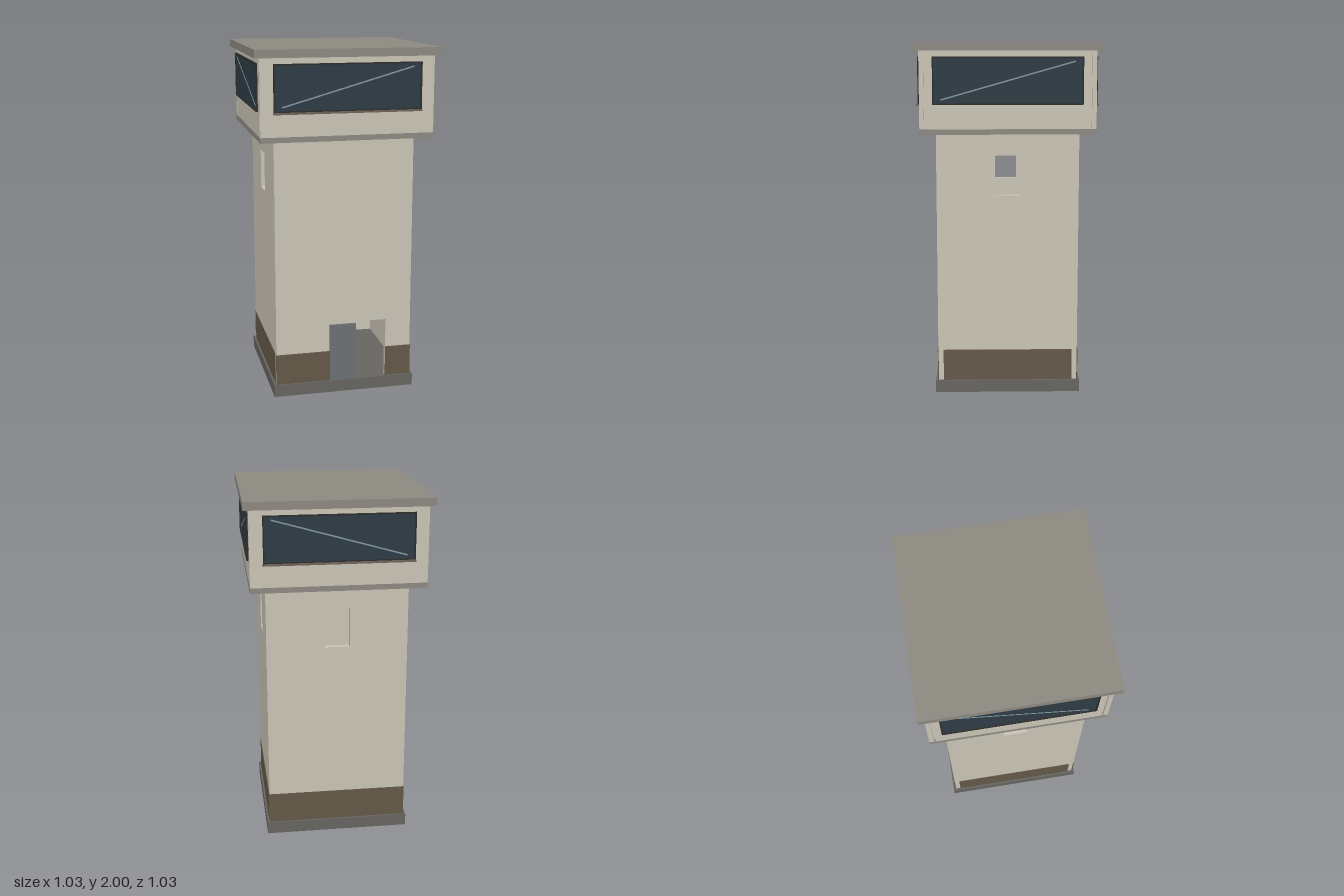
import * as THREE from 'three';

const mat = (color) => new THREE.MeshStandardMaterial({ color });
const M = {
  wall: mat(0xc8c3b5), plinth: mat(0x635848), base: mat(0x666460), roof: mat(0x8c8880),
  glass: mat(0x2f3b44), frame: mat(0x2c2c2a), door: mat(0x6b7073), streak: mat(0x7d95a0), sill: mat(0x6e6258),
};

// Box given by its min and max corners
function box(parent, name, material, x0, x1, y0, y1, z0, z1) {
  const mesh = new THREE.Mesh(new THREE.BoxGeometry(x1 - x0, y1 - y0, z1 - z0), material);
  mesh.position.set((x0 + x1) / 2, (y0 + y1) / 2, (z0 + z1) / 2);
  mesh.name = name;
  parent.add(mesh);
  return mesh;
}

function rect(Type, x0, x1, y0, y1) {
  const p = new Type();
  p.moveTo(x0, y0);
  p.lineTo(x1, y0);
  p.lineTo(x1, y1);
  p.lineTo(x0, y1);
  p.closePath();
  return p;
}

// Upright slab with an optional rectangular hole, from z to z + depth
function slab(parent, name, material, outer, hole, z, depth) {
  const shape = rect(THREE.Shape, ...outer);
  if (hole) shape.holes.push(rect(THREE.Path, ...hole));
  const mesh = new THREE.Mesh(new THREE.ExtrudeGeometry(shape, { depth, bevelEnabled: false }), material);
  mesh.position.z = z;
  mesh.name = name;
  parent.add(mesh);
}

export function createModel() {
  const model = new THREE.Group();
  model.name = 'watchtower';

  // Base slab and roof
  box(model, 'base', M.base, -0.415, 0.415, 0, 0.07, -0.415, 0.415);
  box(model, 'roof', M.roof, -0.515, 0.515, 1.955, 2, -0.515, 0.515);

  // Cabin core and its lower trim
  box(model, 'cabinCore', M.wall, -0.47, 0.47, 1.53, 1.955, -0.465, 0.465);
  box(model, 'cabinTrim', M.roof, -0.486, 0.486, 1.5, 1.53, -0.486, 0.486);

  // Four sides: front, right-hand, back, left-hand
  ['front', 'leftSide', 'back', 'rightSide'].forEach((name, i) => {
    const side = new THREE.Group();
    side.name = name;
    side.rotation.y = (i * Math.PI) / 2;
    model.add(side);
    const isFront = i === 0;
    const isFlank = i % 2 === 1;

    // Shaft wall with its doorway or small window
    const half = isFlank ? 0.37 : 0.4;
    if (isFront) {
      slab(side, 'shaftWall', M.wall, [-half, half, 0.42, 1.5], null, 0.37, 0.03);
      box(side, 'wallBesideDoor', M.wall, -half, 0.07, 0.07, 0.42, 0.37, 0.4);
      box(side, 'wallBesideDoor', M.wall, 0.25, half, 0.07, 0.42, 0.37, 0.4);
    } else {
      slab(side, 'shaftWall', M.wall, [-half, half, 0.07, 1.5], [-0.07, 0.07, 1.15, 1.375], 0.37, 0.03);
    }

    // Painted band at the foot of the wall
    const bands = isFront ? [[-0.402, 0.07], [0.25, 0.402]] : isFlank ? [[-0.37, 0.37]] : [[-0.402, 0.402]];
    for (const [a, b] of bands) box(side, 'footBand', M.plinth, a, b, 0.07, 0.25, 0.399, 0.404);

    // Cabin panel; flank panels stop short to leave a corner groove
    const panel = isFlank ? 0.45 : 0.485;
    box(side, 'cabinPanel', M.wall, -panel, panel, 1.53, 1.955, 0.46, 0.485);

    // Wide window with a thin frame and a diagonal glint
    slab(side, 'windowFrame', M.frame, [-0.412, 0.412, 1.663, 1.922], [-0.405, 0.405, 1.67, 1.915], 0.484, 0.013);
    box(side, 'windowGlass', M.glass, -0.406, 0.406, 1.669, 1.916, 0.484, 0.49);
    const glint = box(side, 'windowGlint', M.streak, -0.382, 0.382, 1.79, 1.798, 0.489, 0.492);
    glint.rotation.z = (i < 2 ? 1 : -1) * Math.atan2(0.21, 0.74);
    if (!isFlank) box(side, 'windowSill', M.sill, -0.415, 0.415, 1.653, 1.664, 0.484, 0.505);
  });

  // Door standing open against the front wall
  box(model, 'door', M.door, -0.085, 0.068, 0.07, 0.412, 0.4, 0.411);
  return model;
}
